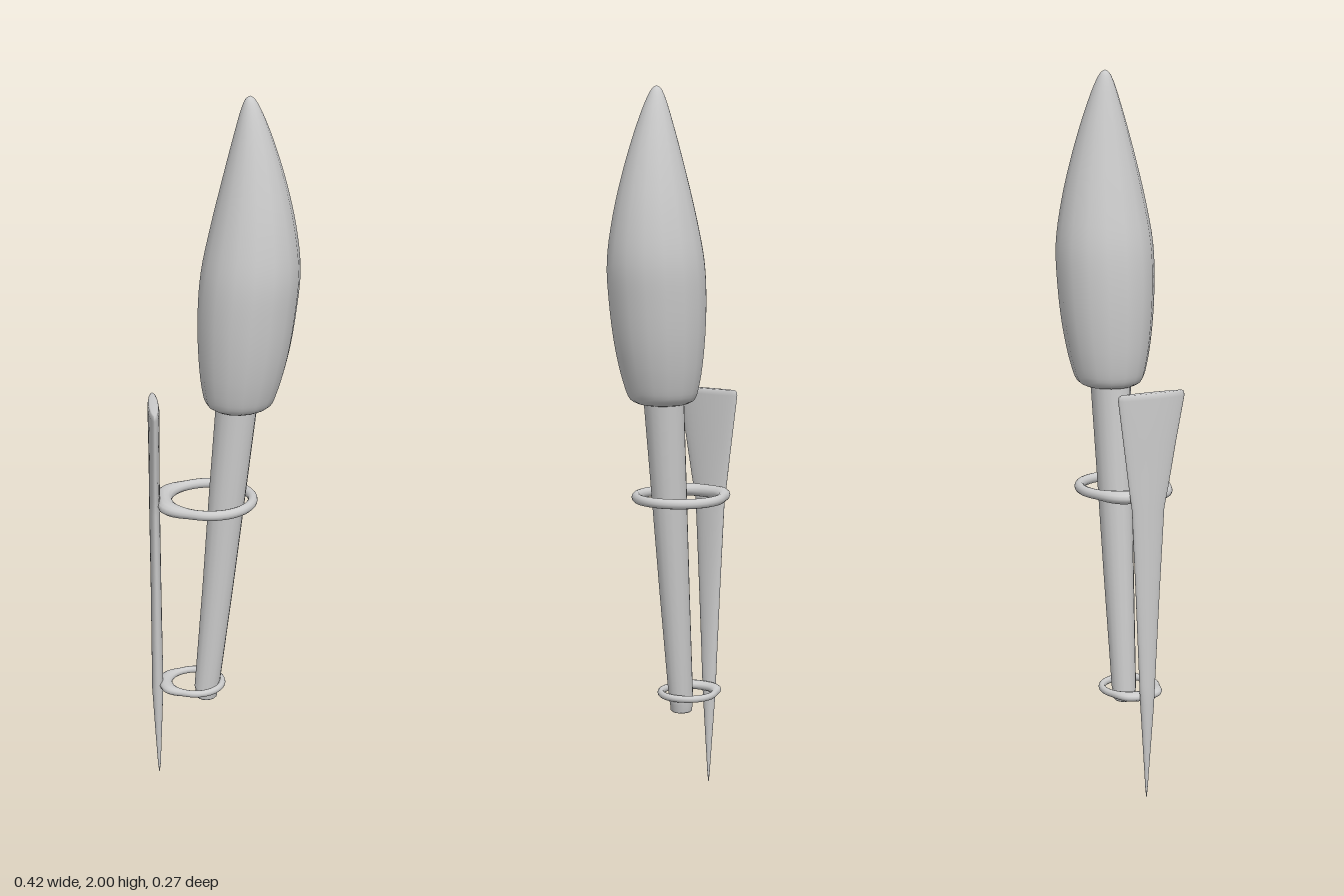
import * as THREE from 'three';

const material = new THREE.MeshStandardMaterial({ color: 0xcccccc });

// Smooth grid surface closed along its columns, and optionally along its rows
function gridMesh(name, rows, cols, closed, point) {
  const pos = [], index = [];
  for (let i = 0; i < rows; i++)
    for (let j = 0; j < cols; j++) pos.push(...point(i, j));
  for (let i = 0; i < (closed ? rows : rows - 1); i++) {
    for (let j = 0; j < cols; j++) {
      const i2 = (i + 1) % rows, j2 = (j + 1) % cols;
      const a = i * cols + j, b = i2 * cols + j, c = i2 * cols + j2, d = i * cols + j2;
      index.push(a, b, d, b, c, d);
    }
  }
  const geometry = new THREE.BufferGeometry();
  geometry.setAttribute('position', new THREE.Float32BufferAttribute(pos, 3));
  geometry.setIndex(index);
  geometry.computeVertexNormals();
  const mesh = new THREE.Mesh(geometry, material);
  mesh.name = name;
  return mesh;
}

// Stack of elliptical sections, each [y, centre x, radius x, radius z, centre z]
function loft(name, sections, sides) {
  return gridMesh(name, sections.length, sides, false, (i, j) => {
    const [y, cx, rx, rz, cz = 0] = sections[i];
    const a = (j / sides) * Math.PI * 2;
    return [cx + rx * Math.cos(a), y, cz + rz * Math.sin(a)];
  });
}

// Horizontal ring whose back side widens into a neck ending at the plate
function holderRing(name, cx, y, inner, outer, halfHeight, neck, plateX) {
  const around = 64, section = 12;
  return gridMesh(name, section, around, true, (i, j) => {
    const a = (j / around) * Math.PI * 2;
    const b = (i / section) * Math.PI * 2;
    const toBack = Math.abs(Math.PI - a);
    const s = 1 - THREE.MathUtils.smoothstep(toBack, 0.42, 1.15);
    let ro = outer + neck * s;
    if (Math.cos(a) < -0.3) ro = Math.min(ro, (cx - plateX) / -Math.cos(a));
    const r = (inner + ro) / 2 + ((ro - inner) / 2) * Math.cos(b);
    const h = halfHeight * (1 + 0.3 * s);
    return [cx + r * Math.cos(a), y + h * Math.sin(b), r * Math.sin(a)];
  });
}

export function createModel() {
  const model = new THREE.Group();

  // Tapered, leaning handle with a bevelled lower end
  model.add(loft('handle', [
    [0.25, -0.052, 0, 0], [0.25, -0.052, 0.027, 0.027],
    [0.254, -0.052, 0.031, 0.031], [0.275, -0.051, 0.033, 0.032],
    [0.285, -0.05, 0.036, 0.034], [0.6, -0.018, 0.044, 0.042],
    [0.9, 0.01, 0.052, 0.049], [1.17, 0.036, 0.058, 0.056],
  ], 16));

  // Swollen, pointed head, curved through a few control sections
  const profile = [
    [1.142, 0.038, 0.07], [1.155, 0.04, 0.09], [1.2, 0.044, 0.106],
    [1.3, 0.053, 0.124], [1.42, 0.062, 0.134], [1.53, 0.071, 0.134],
    [1.65, 0.077, 0.115], [1.78, 0.078, 0.084], [1.9, 0.074, 0.049],
    [1.97, 0.069, 0.024], [1.993, 0.067, 0.011], [2, 0.067, 0],
  ].map(([y, x, r]) => new THREE.Vector3(x, y, r));
  const head = new THREE.CatmullRomCurve3(profile).getPoints(44)
    .map(p => [p.y, p.x, Math.max(p.z, 0), Math.max(p.z, 0)]);
  model.add(loft('flameHead', [[1.138, 0.037, 0, 0], [1.138, 0.037, 0.05, 0.05], ...head], 16));

  // Spiked back plate, widening towards its top
  model.add(loft('wallSpike', [
    [0, -0.191, 0, 0], [0.03, -0.191, 0.004, 0.003], [0.15, -0.192, 0.01, 0.011],
    [0.28, -0.193, 0.016, 0.02], [0.34, -0.193, 0.016, 0.023],
    [0.6, -0.194, 0.015, 0.036], [0.84, -0.195, 0.015, 0.049],
    [0.9, -0.195, 0.015, 0.06, 0.002], [1.02, -0.195, 0.015, 0.079, 0.005],
    [1.145, -0.195, 0.016, 0.1, 0.009], [1.157, -0.195, 0.014, 0.098, 0.009],
    [1.16, -0.195, 0.01, 0.092, 0.009], [1.16, -0.195, 0, 0, 0.009],
  ], 24));

  // Rings that hold the handle
  model.add(holderRing('upperRing', -0.04, 0.87, 0.106, 0.133, 0.014, 0.024, -0.187));
  model.add(holderRing('lowerRing', -0.083, 0.298, 0.067, 0.086, 0.01, 0.02, -0.187));

  return model;
}
